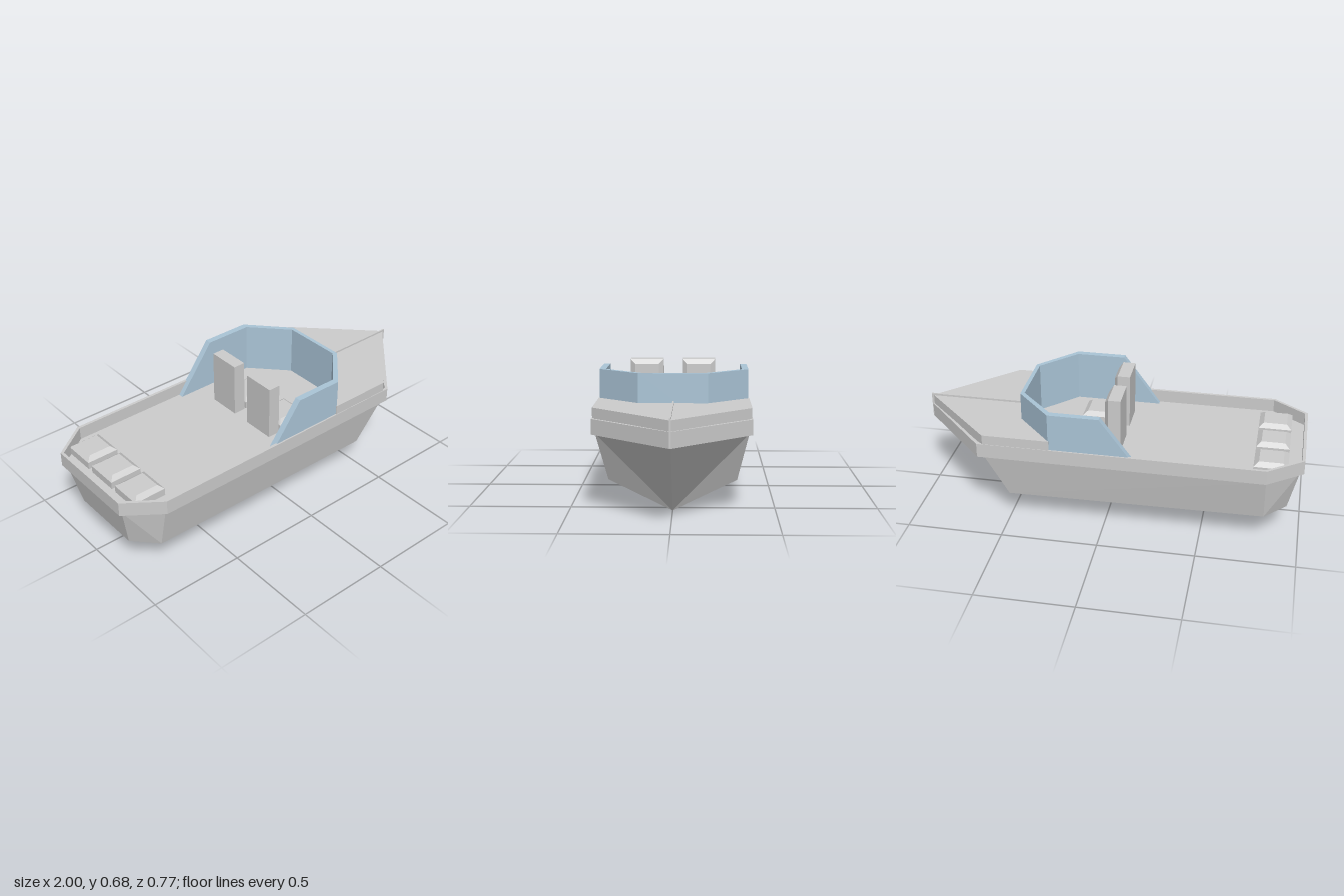
import * as THREE from 'three';

const grey = new THREE.MeshStandardMaterial({ color: 0xcccccc, flatShading: true, side: THREE.DoubleSide });
const glass = new THREE.MeshStandardMaterial({ color: 0xaac4d6, flatShading: true, side: THREE.DoubleSide });

function add(parent, name, geometry, material = grey) {
  const mesh = new THREE.Mesh(geometry, material);
  mesh.name = name;
  parent.add(mesh);
  return mesh;
}

// Full symmetric outline from one side's [x, z] points
function mirrored(half) {
  const other = half.filter((p) => p[1] !== 0).map(([x, z]) => [x, -z]).reverse();
  return [...half, ...other].map(([x, z]) => new THREE.Vector2(x, z));
}

// Plan outline extruded upwards from y0 to y1
function slab(half, y0, y1, hole) {
  const shape = new THREE.Shape(mirrored(half));
  if (hole) shape.holes.push(new THREE.Path(mirrored(hole)));
  const g = new THREE.ExtrudeGeometry(shape, { depth: y1 - y0, bevelEnabled: false });
  return g.rotateX(-Math.PI / 2).translate(0, y0, 0);
}

// Faces of one side plus their mirror image across z = 0
function mirroredFaces(faces) {
  const pos = [];
  for (const f of faces) {
    for (let i = 1; i < f.length - 1; i++) {
      pos.push(...f[0], ...f[i], ...f[i + 1]);
      for (const [x, y, z] of [f[0], f[i + 1], f[i]]) pos.push(x, y, -z);
    }
  }
  const g = new THREE.BufferGeometry();
  g.setAttribute('position', new THREE.Float32BufferAttribute(pos, 3));
  g.computeVertexNormals();
  return g;
}

// Block with a bevelled upper face, standing on y = 0
function cushion(w, h, d, bevel) {
  const g = new THREE.BoxGeometry(w, h, d, 1, 2, 1).translate(0, h / 2, 0);
  const p = g.attributes.position;
  for (let i = 0; i < p.count; i++) {
    const y = p.getY(i);
    if (y > h * 0.9) {
      p.setX(i, p.getX(i) * (1 - (2 * bevel) / w));
      p.setZ(i, p.getZ(i) * (1 - (2 * bevel) / d));
    } else if (y > h * 0.1) p.setY(i, h - bevel * 0.8);
  }
  g.computeVertexNormals();
  return g;
}

export function createModel() {
  const boat = new THREE.Group();
  boat.name = 'boat';

  // Hull: deck edge, chine and keel points
  const dM = [-0.98, 0.385, 0], dA = [-0.98, 0.385, 0.24], dB = [-0.82, 0.385, 0.367];
  const dC = [0.61, 0.385, 0.367], dBow = [0.92, 0.385, 0];
  const cM = [-0.93, 0.155, 0], cA = [-0.93, 0.155, 0.2], cB = [-0.82, 0.155, 0.317], cC = [0.5, 0.14, 0.315];
  const kAft = [-0.6, 0.015, 0], kBow = [0.56, 0, 0];
  add(boat, 'hull', mirroredFaces([
    [dA, cA, cB, dB], [dB, cB, cC, dC], [dC, cC, kBow, dBow],
    [dM, cM, cA, dA], [cM, kAft, cA], [cA, kAft, cB], [cB, kAft, kBow, cC],
  ]));

  // Deck with the bulwark standing around it
  const outer = [[-1, 0.25], [-0.82, 0.383], [0.64, 0.383], [1, 0]];
  const inner = [[-0.985, 0.243], [-0.815, 0.368], [0.633, 0.368], [0.978, 0]];
  add(boat, 'deck', slab(inner, 0.385, 0.392));
  add(boat, 'bulwark', slab(outer, 0.385, 0.46, inner));

  // Raised foredeck, its centre ridge and the stem post
  add(boat, 'foredeck', slab(
    [[0.44, 0.168], [0.265, 0.355], [0.265, 0.38], [0.61, 0.38], [0.992, 0]], 0.455, 0.51));
  add(boat, 'foredeckRidge', new THREE.BoxGeometry(0.54, 0.012, 0.008).translate(0.725, 0.514, 0));
  add(boat, 'stemPost', new THREE.BoxGeometry(0.02, 0.133, 0.008).translate(0.99, 0.4535, 0));

  // Wraparound windshield with raked rear ends
  const screen = new THREE.Shape([
    [-0.19, 0.375], [0.27, 0.375], [0.457, 0.172], [0.457, -0.172], [0.27, -0.375], [-0.19, -0.375],
    [-0.19, -0.342], [0.265, -0.342], [0.437, -0.16], [0.437, 0.16], [0.265, 0.342], [-0.19, 0.342],
  ].map(([x, z]) => new THREE.Vector2(x, z)));
  const screenGeo = new THREE.ExtrudeGeometry(screen, { depth: 0.266, bevelEnabled: false });
  screenGeo.rotateX(-Math.PI / 2).translate(0, 0.39, 0);
  const sp = screenGeo.attributes.position;
  for (let i = 0; i < sp.count; i++) {
    if (sp.getX(i) < -0.1 && sp.getY(i) > 0.5) sp.setX(i, 0.01);
  }
  screenGeo.computeVertexNormals();
  add(boat, 'windshield', screenGeo, glass);

  // Two helm seats
  for (const z of [-0.125, 0.15]) {
    const seat = new THREE.Group();
    seat.name = 'helmSeat';
    seat.position.set(0, 0.39, z);
    add(seat, 'backrest', cushion(0.29, 0.085, 0.174, 0.025).rotateZ(-Math.PI / 2).translate(-0.07, 0.145, 0));
    add(seat, 'seatCushion', cushion(0.18, 0.06, 0.174, 0.025).translate(0.095, 0, 0));
    boat.add(seat);
  }

  // Row of three stern seats
  for (const z of [-0.215, -0.015, 0.185]) {
    add(boat, 'sternSeat', cushion(0.17, 0.06, 0.17, 0.025)).position.set(-0.835, 0.39, z);
  }
  return boat;
}
